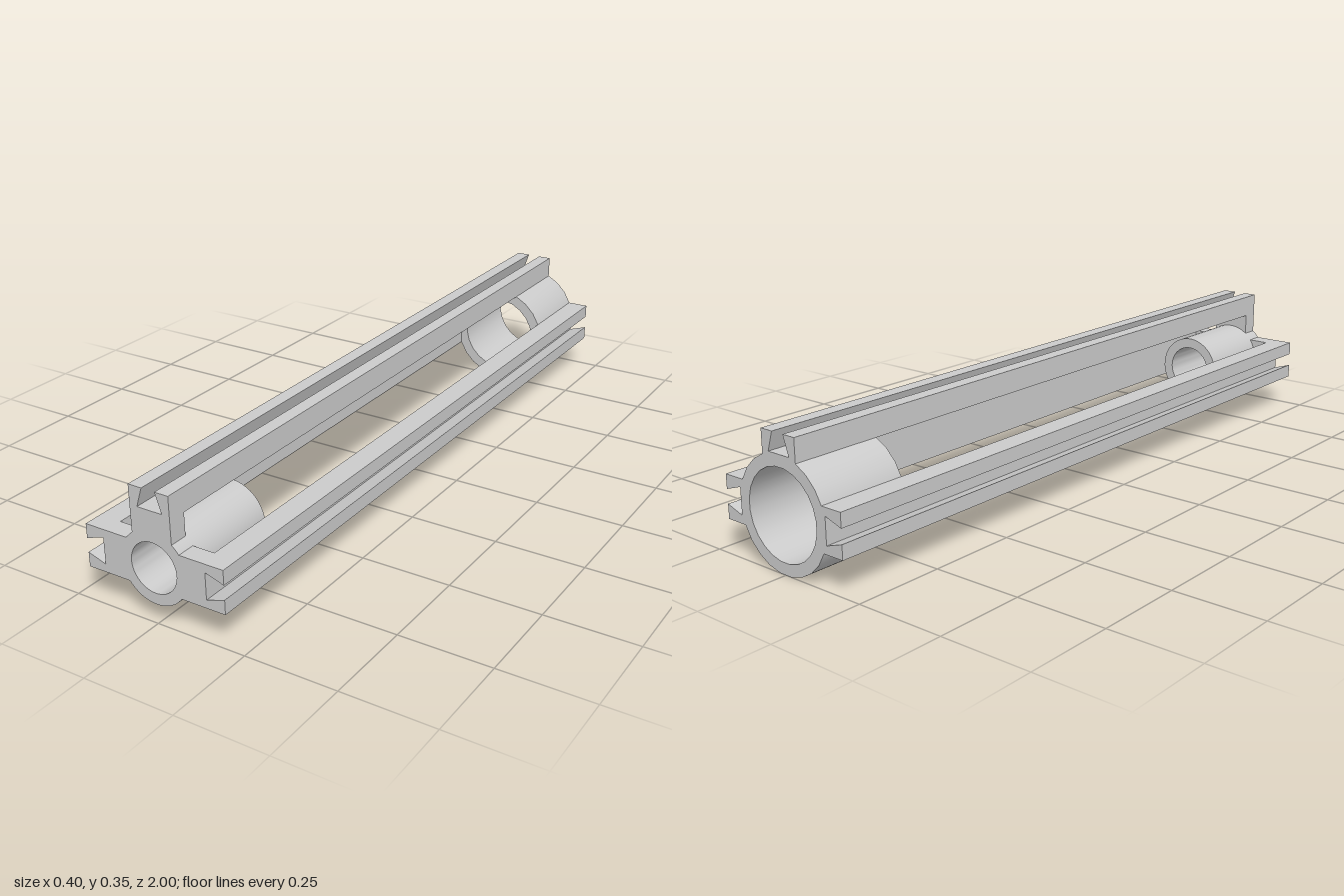
import * as THREE from 'three';
import { toCreasedNormals } from 'three/addons/utils/BufferGeometryUtils.js';

const AXIS_Y = 0.151; // height of the common centre line
const material = new THREE.MeshStandardMaterial({ color: 0xcccccc });

// Points of a regular polygon with a flat edge at the bottom
function ringPoints(radius, sides) {
  return Array.from({ length: sides }, (_, i) => {
    const a = ((i + 0.5) / sides) * Math.PI * 2;
    return new THREE.Vector2(radius * Math.sin(a), -radius * Math.cos(a));
  });
}

// Extrude a cross-section along z from z0 to z1
function prism(name, shape, z0, z1) {
  const geometry = new THREE.ExtrudeGeometry(shape, { depth: z1 - z0, bevelEnabled: false });
  geometry.translate(0, 0, z0);
  const mesh = new THREE.Mesh(toCreasedNormals(geometry, 0.5), material);
  mesh.name = name;
  return mesh;
}

function tube(name, outer, inner, sides, z0, z1) {
  const shape = new THREE.Shape(ringPoints(outer, sides));
  shape.holes.push(new THREE.Path(ringPoints(inner, sides)));
  return prism(name, shape, z0, z1);
}

function polygon(points) {
  return new THREE.Shape(points.map(([x, y]) => new THREE.Vector2(x, y)));
}

export function createModel() {
  const model = new THREE.Group();
  model.name = 'railFrame';
  const body = new THREE.Group();
  body.name = 'body';
  body.position.y = AXIS_Y;
  model.add(body);

  // Wide sleeve at the back, narrow sleeve at the front
  body.add(tube('backSleeve', 0.151, 0.119, 24, -1, -0.75));
  body.add(tube('frontSleeve', 0.097, 0.067, 48, 0.7, 1));

  // Rail cross-section with a dovetail slot, pointing up
  const railShape = polygon([
    [-0.058, 0.139], [0.058, 0.139], [0.058, 0.202], [0.019, 0.202],
    [0.036, 0.15], [-0.036, 0.15], [-0.019, 0.202], [-0.058, 0.202],
  ]);
  // Short bracket joining a rail to the front sleeve
  const bracketShape = polygon([
    [-0.058, 0.075], [0.058, 0.075], [0.058, 0.139], [-0.058, 0.139],
  ]);

  // Three slotted rails: top, left and right
  const arms = [['top', 0], ['left', -Math.PI / 2], ['right', Math.PI / 2]];
  for (const [side, angle] of arms) {
    const arm = new THREE.Group();
    arm.name = side + 'Arm';
    arm.add(prism(side + 'Rail', railShape, -1, 1));
    arm.add(prism(side + 'Bracket', bracketShape, 0.95, 1));
    arm.rotation.z = angle;
    body.add(arm);
  }
  return model;
}
